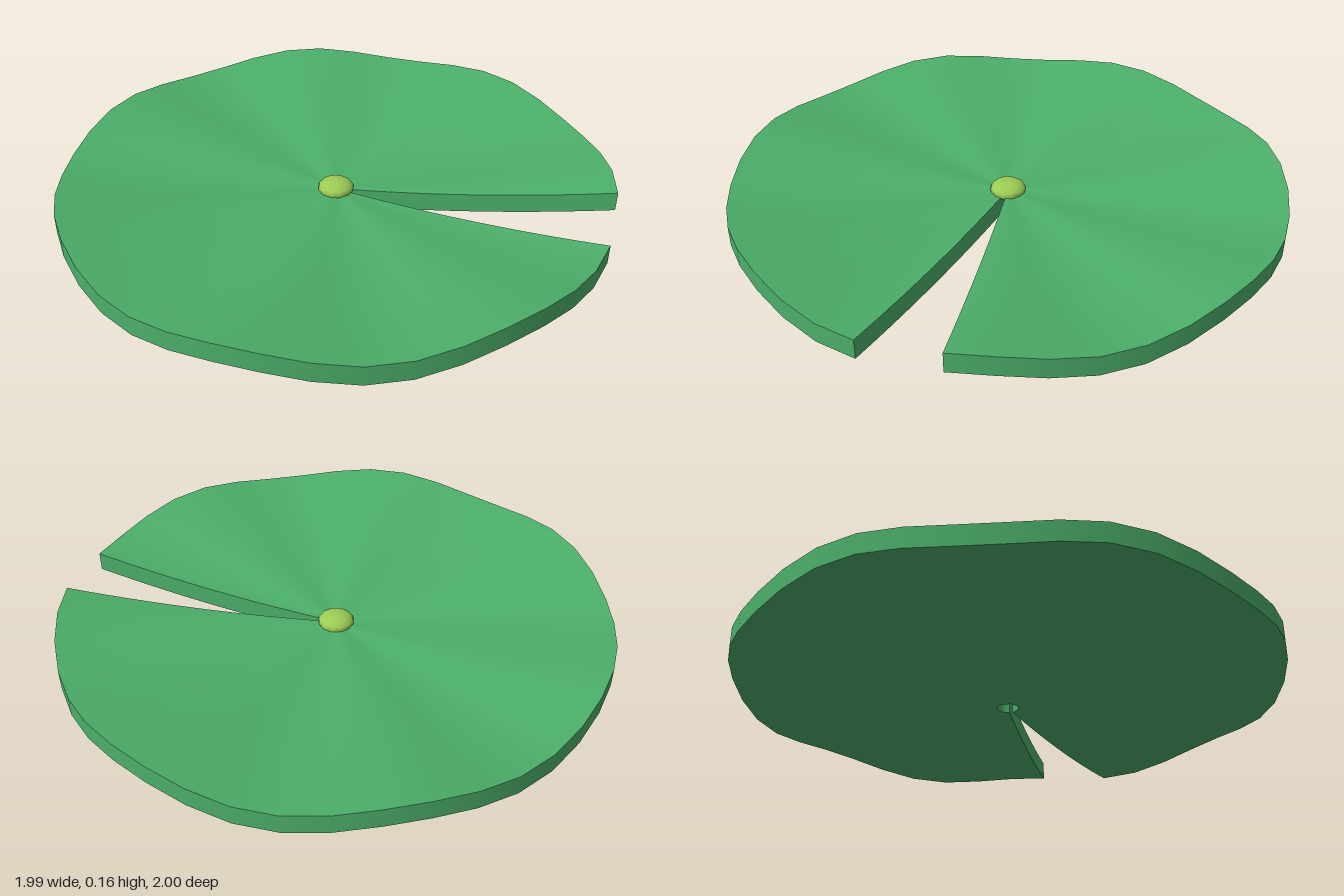
import * as THREE from 'three';
import { mergeGeometries } from 'three/addons/utils/BufferGeometryUtils.js';
import { ParametricGeometry } from 'three/addons/geometries/ParametricGeometry.js';

const NOTCH = 0.14;      // half angle of the notch, which opens towards +x
const INNER = 0.038;     // radius of the small hole under the bud
const THICK = 0.072;
const ANGULAR = 40, RADIAL = 12;

// Point on the pad: a = 0..1 around, b = 0..1 outwards, h = 0..1 from underside to top
function padPoint(a, b, h, target) {
  const angle = THREE.MathUtils.lerp(NOTCH, 2 * Math.PI - NOTCH, a);
  const r = THREE.MathUtils.lerp(INNER, 1, b);
  const y = 0.001 + 0.072 * r * r - 0.018 * r * Math.sin(7 * angle) + THICK * h;
  target.set(r * Math.cos(angle), y, r * Math.sin(angle));
}

function createPad() {
  const face = (map, nu, nv) =>
    new ParametricGeometry((u, v, t) => padPoint(...map(u, v), t), nu, nv);
  return mergeGeometries([
    face((u, v) => [u, v, 1], ANGULAR, RADIAL),   // top
    face((u, v) => [v, u, 0], RADIAL, ANGULAR),   // underside
    face((u, v) => [v, 1, u], 1, ANGULAR),        // outer rim
    face((u, v) => [u, 0, v], ANGULAR, 1),        // wall of the centre hole
    face((u, v) => [0, v, u], 1, RADIAL),         // front notch wall
    face((u, v) => [1, u, v], RADIAL, 1),         // back notch wall
  ]);
}

export function createModel() {
  const group = new THREE.Group();
  group.name = 'lilyPad';

  // Wavy, slightly dished leaf
  const leaf = new THREE.Mesh(createPad(), new THREE.MeshStandardMaterial({ color: 0x4caf6a }));
  leaf.name = 'leaf';

  // Flattened bud in the middle
  const bud = new THREE.Mesh(
    new THREE.SphereGeometry(0.066, 12, 8),
    new THREE.MeshStandardMaterial({ color: 0x9ccc55 })
  );
  bud.name = 'centreBud';
  bud.scale.y = 0.5;
  bud.position.y = 0.08;

  group.add(leaf, bud);
  return group;
}
